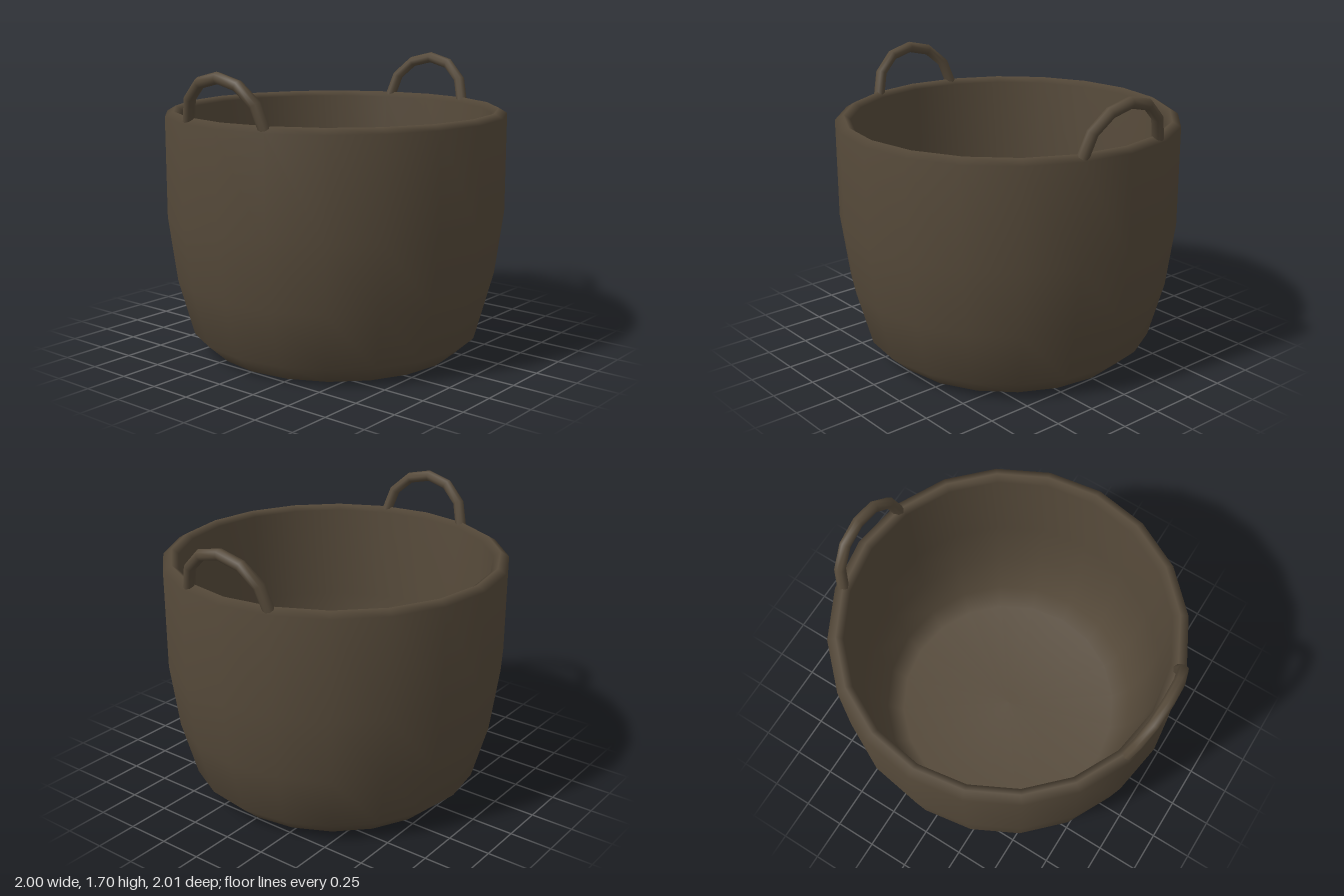
import * as THREE from 'three';

const wicker = new THREE.MeshStandardMaterial({ color: 0x564a3a });
wicker.name = 'dark wicker brown';

// Basket wall as one closed profile: underside, outer wall, rim, inner wall, floor
function makeBasket() {
  const profile = [
    [0, 0], [0.74, 0], [0.86, 0.11], [0.95, 0.44], [1, 0.82], [1, 1.4],
    [0.95, 1.43], [0.91, 1.4], [0.91, 0.83], [0.87, 0.47], [0.79, 0.18], [0.69, 0.08], [0, 0.08],
  ].map(([r, y]) => new THREE.Vector2(r, y));
  const basket = new THREE.Mesh(new THREE.LatheGeometry(profile, 20), wicker);
  basket.name = 'basket';
  return basket;
}

// Arched handle leaning outward from the rim; side is +1 for front, -1 for back
function makeHandle(side) {
  const half = [[0.28, 1.405, 0.915], [0.23, 1.555, 0.945], [0.13, 1.635, 0.965]];
  const points = [
    ...half.map(([x, y, z]) => new THREE.Vector3(-x, y, z)),
    new THREE.Vector3(0, 1.665, 0.97),
    ...half.reverse().map(([x, y, z]) => new THREE.Vector3(x, y, z)),
  ];
  const curve = new THREE.CatmullRomCurve3(points);
  const handle = new THREE.Group();
  handle.name = side > 0 ? 'frontHandle' : 'backHandle';

  const arch = new THREE.Mesh(new THREE.TubeGeometry(curve, 6, 0.033, 8), wicker);
  arch.name = 'handleArch';
  handle.add(arch);

  // Flat caps close the two ends
  for (const t of [0, 1]) {
    const cap = new THREE.Mesh(new THREE.CircleGeometry(0.033, 8), wicker);
    cap.name = 'handleEnd';
    const p = curve.getPointAt(t);
    const outward = curve.getTangentAt(t).multiplyScalar(t ? 1 : -1);
    cap.position.copy(p);
    cap.lookAt(p.clone().add(outward));
    handle.add(cap);
  }
  if (side < 0) handle.rotation.y = Math.PI;
  return handle;
}

export function createModel() {
  const model = new THREE.Group();
  model.name = 'handledBasket';
  model.add(makeBasket(), makeHandle(1), makeHandle(-1));
  return model;
}
